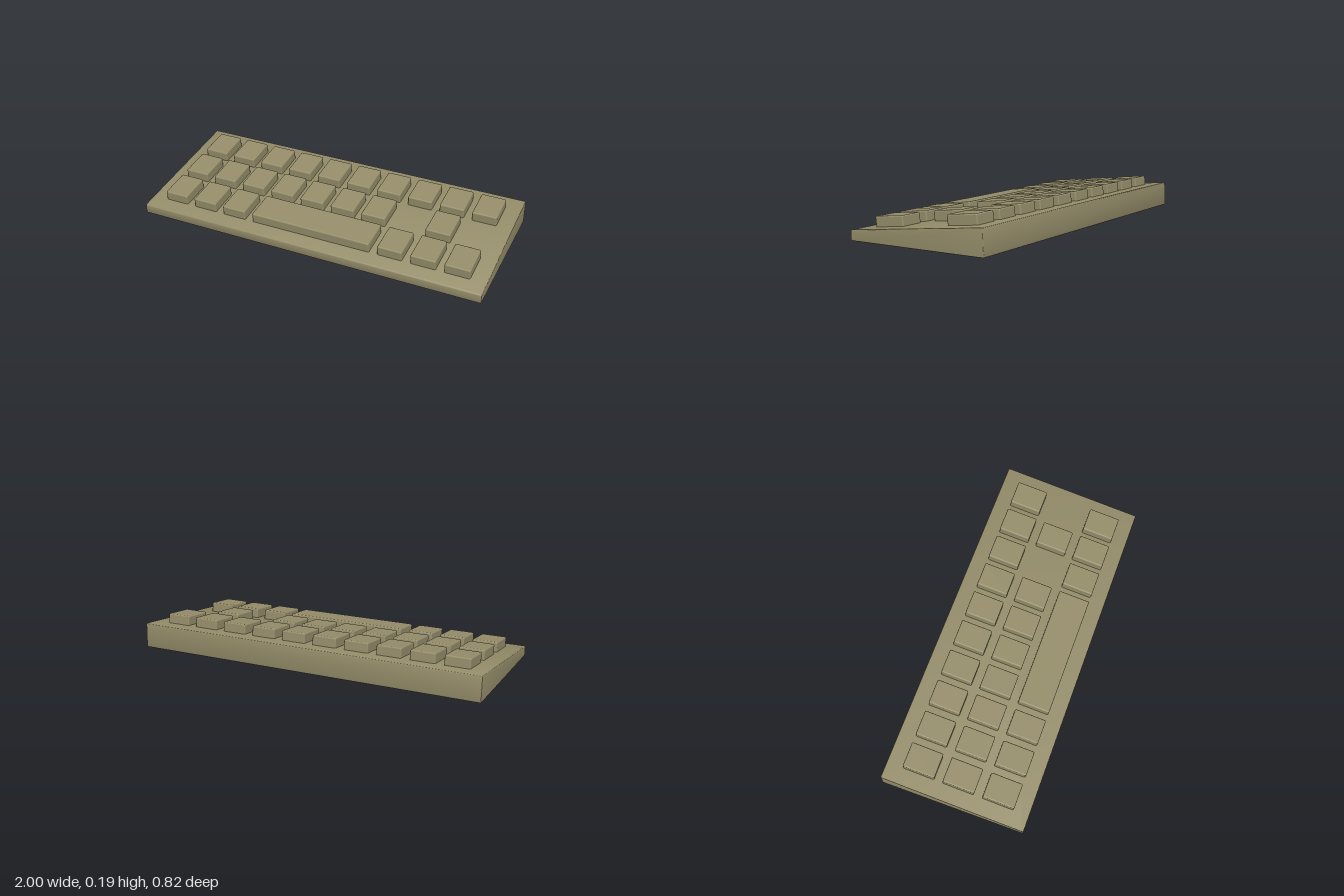
import * as THREE from 'three';
import { toCreasedNormals } from 'three/addons/utils/BufferGeometryUtils.js';
import { RoundedBoxGeometry } from 'three/addons/geometries/RoundedBoxGeometry.js';

const SLOPE = 0.1066; // rise of the deck towards the back
const TILT = Math.atan(SLOPE);
const PITCH = 0.1867; // spacing of the key columns
const KEY = { width: 0.14, depth: 0.18, height: 0.055, sunk: 0.02 };

// Closed polygon with each corner rounded off
function roundedPolygon(points, r) {
  const pts = points.map(([x, y]) => new THREE.Vector2(x, y));
  const shape = new THREE.Shape();
  pts.forEach((p, i) => {
    const prev = pts[(i + pts.length - 1) % pts.length];
    const next = pts[(i + 1) % pts.length];
    const a = prev.clone().sub(p).setLength(r).add(p);
    const b = next.clone().sub(p).setLength(r).add(p);
    if (i === 0) shape.moveTo(a.x, a.y);
    else shape.lineTo(a.x, a.y);
    shape.quadraticCurveTo(p.x, p.y, b.x, b.y);
  });
  shape.closePath();
  return shape;
}

export function createModel() {
  const model = new THREE.Group();
  model.name = 'keyboard';
  const material = new THREE.MeshStandardMaterial({ color: 0x958d6a });

  // Wedge case: side profile (z, y) extruded across the width
  const profile = roundedPolygon(
    [[-0.408, 0], [0.409, 0], [0.409, 0.056], [-0.402, 0.1425]], 0.009);
  const bevel = 0.004;
  const caseGeometry = new THREE.ExtrudeGeometry(profile, {
    depth: 2 - 2 * bevel, curveSegments: 4,
    bevelThickness: bevel, bevelSize: bevel, bevelOffset: -bevel, bevelSegments: 3,
  });
  caseGeometry.translate(0, 0, -(1 - bevel));
  caseGeometry.rotateY(-Math.PI / 2);
  const body = new THREE.Mesh(toCreasedNormals(caseGeometry, 0.6), material);
  body.name = 'case';
  model.add(body);

  // Keycaps, sunk slightly into the sloping deck
  const capGeometry = (width) => new RoundedBoxGeometry(
    width, KEY.height + KEY.sunk, KEY.depth, 3, 0.008)
    .translate(0, (KEY.height - KEY.sunk) / 2, 0);
  const keyGeometry = capGeometry(KEY.width);
  const spaceGeometry = capGeometry(KEY.width + 3 * PITCH);

  const rows = [
    { name: 'backRow', z: -0.2215, columns: [0, 1, 2, 3, 4, 5, 6, 7, 8, 9] },
    { name: 'middleRow', z: 0.0045, columns: [0, 1, 2, 3, 4, 5, 6, 8] },
    { name: 'frontRow', z: 0.2305, columns: [0, 1, 2, 7, 8, 9] },
  ];
  for (const { name, z, columns } of rows) {
    const row = new THREE.Group();
    row.name = name;
    row.position.set(0, 0.0992 - z * SLOPE, z);
    row.rotation.x = TILT;
    for (const column of columns) {
      const key = new THREE.Mesh(keyGeometry, material);
      key.name = 'key';
      key.position.x = (column - 4.5) * PITCH;
      row.add(key);
    }
    // Long bar in the middle of the front row
    if (name === 'frontRow') {
      const space = new THREE.Mesh(spaceGeometry, material);
      space.name = 'spaceBar';
      row.add(space);
    }
    model.add(row);
  }
  return model;
}
